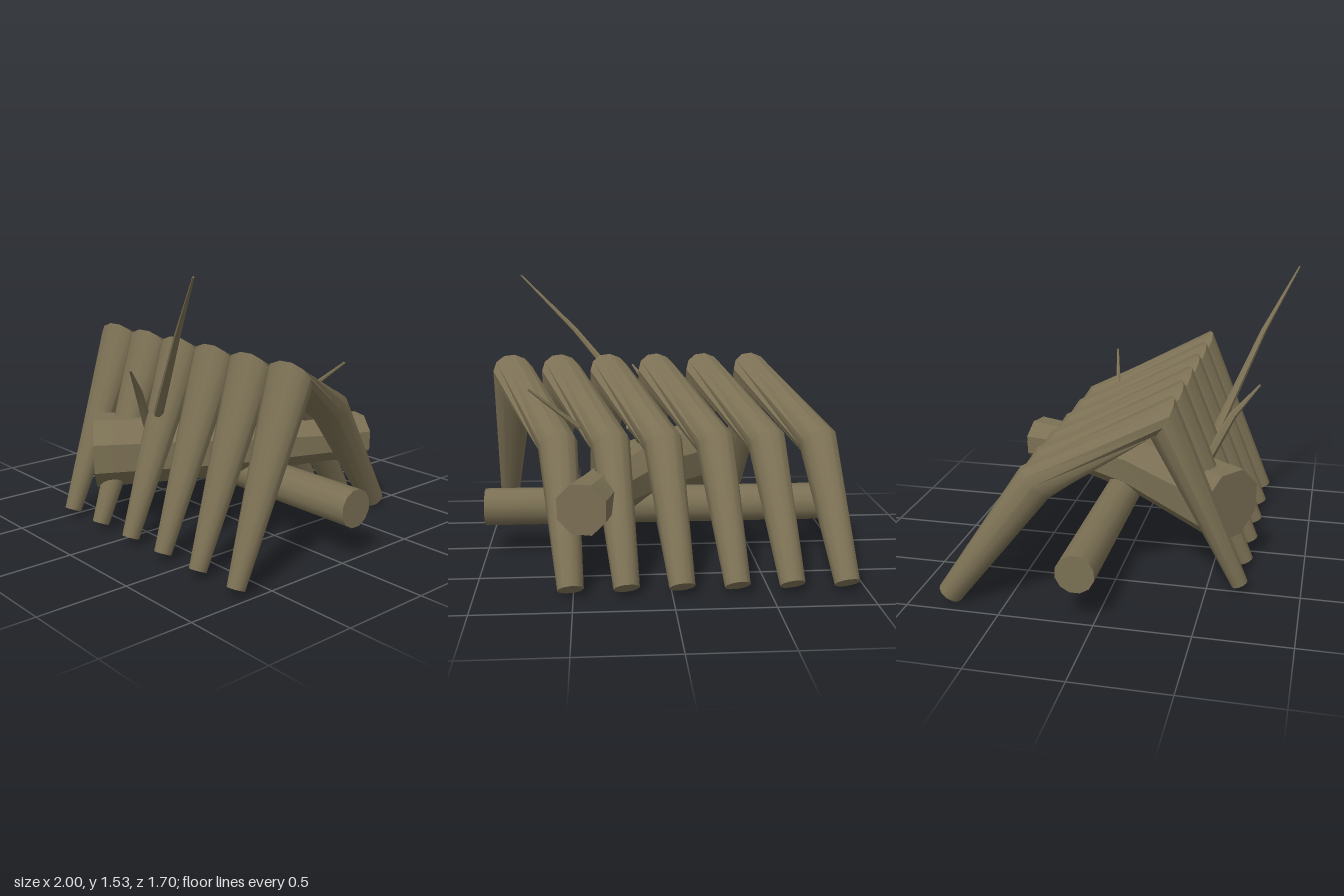
import * as THREE from 'three';
import { toCreasedNormals } from 'three/addons/utils/BufferGeometryUtils.js';

const wood = new THREE.MeshStandardMaterial({ color: 0x7b7054 });
wood.name = 'wood';

// Closed tapered limb: one ring per point [x, y, z, radius], turned to the path direction.
function limb(name, points, sides, ref, phase = 0, crease = 0.65) {
  const centres = points.map(p => new THREE.Vector3(p[0], p[1], p[2]));
  const last = points.length - 1;
  const pos = [], index = [];
  centres.forEach((c, i) => {
    const t = centres[Math.min(i + 1, last)].clone().sub(centres[Math.max(i - 1, 0)]).normalize();
    const u = ref.clone().addScaledVector(t, -ref.dot(t)).normalize();
    const v = new THREE.Vector3().crossVectors(t, u);
    for (let j = 0; j < sides; j++) {
      const a = (j + phase) / sides * Math.PI * 2;
      const p = c.clone()
        .addScaledVector(u, Math.cos(a) * points[i][3])
        .addScaledVector(v, Math.sin(a) * points[i][3]);
      pos.push(p.x, p.y, p.z);
    }
  });
  const startCap = pos.length / 3, endCap = startCap + 1;
  pos.push(...centres[0].toArray(), ...centres[last].toArray());
  for (let j = 0; j < sides; j++) {
    const k = (j + 1) % sides;
    for (let i = 0; i < last; i++) {
      const a = i * sides + j, b = i * sides + k;
      index.push(a, b, b + sides, a, b + sides, a + sides);
    }
    index.push(startCap, k, j, endCap, last * sides + j, last * sides + k);
  }
  const geo = new THREE.BufferGeometry();
  geo.setAttribute('position', new THREE.Float32BufferAttribute(pos, 3));
  geo.setIndex(index);
  const mesh = new THREE.Mesh(toCreasedNormals(geo, crease), wood);
  mesh.name = name;
  return mesh;
}

export function createModel() {
  const model = new THREE.Group();
  model.name = 'logShelter';
  const X = new THREE.Vector3(1, 0, 0), Y = new THREE.Vector3(0, 1, 0);

  // Row of six bent logs, thin at both feet
  for (let n = 0; n < 6; n++) {
    const dx = n * 0.282;
    model.add(limb('bentLog' + (n + 1), [
      [-0.897 + dx, 0.045, -0.798, 0.067],
      [-0.83 + dx, 0.685, -0.335, 0.107],
      [-0.56 + dx, 0.985, 0.258, 0.122],
      [-0.475 + dx, 0.045, 0.675, 0.047],
    ], 12, X));
  }

  // Straight pole running across
  model.add(limb('crossPole', [
    [-1, 0.28, -0.092, 0.104], [1, 0.28, -0.092, 0.104],
  ], 12, Y, 0.5));

  // Thick eight-sided log lying underneath
  model.add(limb('thickLog', [
    [-0.33, 0.425, 0.6, 0.21],
    [0.12, 0.45, 0.03, 0.18],
    [0.385, 0.44, -0.5, 0.13],
    [0.455, 0.435, -0.72, 0.142],
  ], 8, Y, 0.5, 0.5));

  // Tapering twigs
  const twigs = {
    longTwig: [[0.06, 0.69, 0.455, 0.028], [0.5, 1.2, 0.67, 0.016], [0.837, 1.528, 0.845, 0.005]],
    frontTwig: [[-0.055, 0.6, 0.44, 0.03], [0.02, 0.82, 0.555, 0.022], [0.14, 0.972, 0.692, 0.006]],
    backTwig: [[0.27, 0.58, -0.165, 0.028], [0.45, 0.74, -0.2, 0.018], [0.735, 0.978, -0.268, 0.006]],
    shortTwig: [[0.1, 0.6, 0.04, 0.03], [0.15, 0.685, -0.04, 0.022], [0.2, 0.74, -0.15, 0.012]],
  };
  for (const [name, points] of Object.entries(twigs)) model.add(limb(name, points, 6, X, 0.5));

  return model;
}
